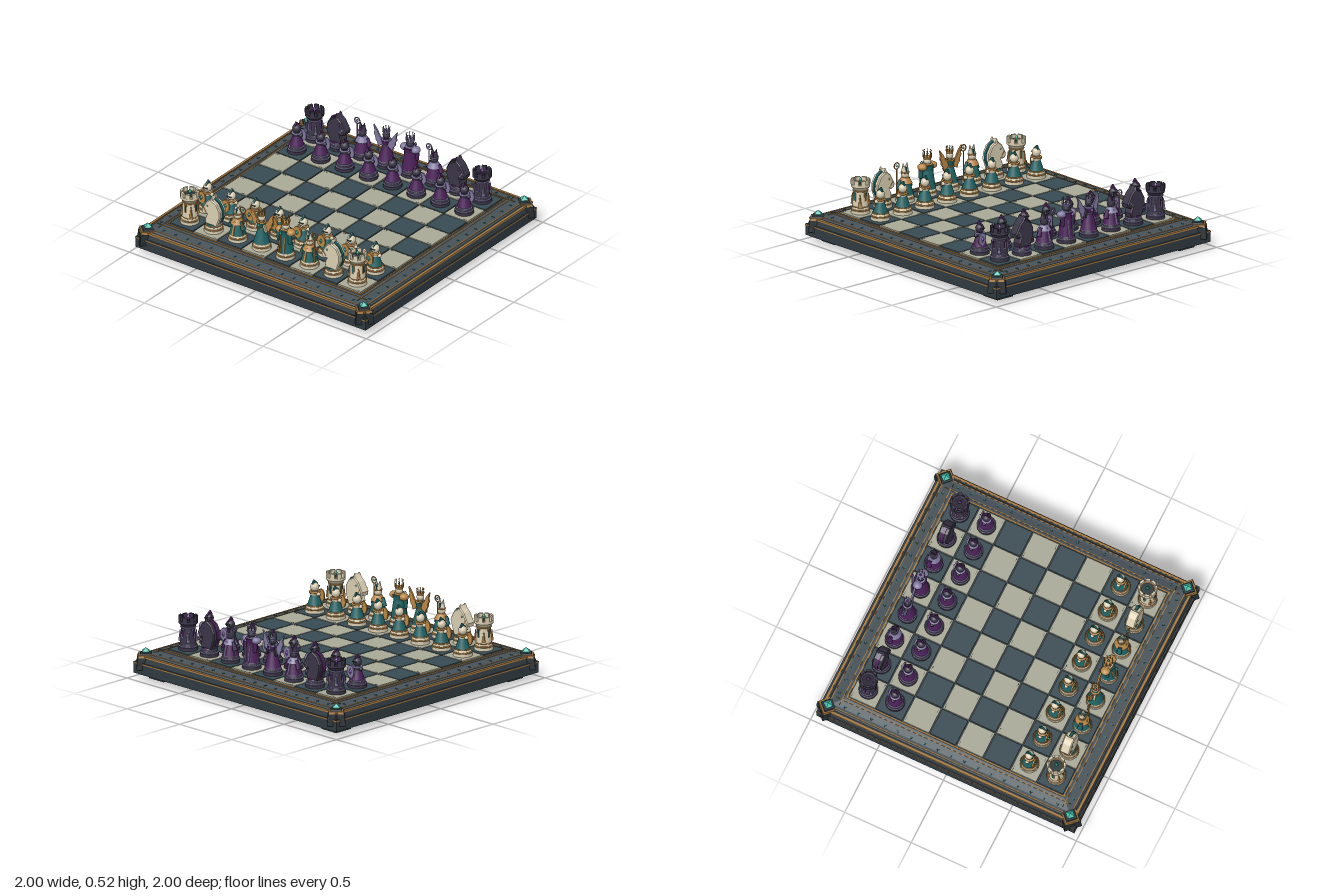
import * as THREE from 'three';

const mats = {};
const mat = (c) => (mats[c] ??= new THREE.MeshStandardMaterial({ color: c, side: THREE.DoubleSide }));
const flat = (c) => (mats['f' + c] ??= new THREE.MeshStandardMaterial({ color: c, flatShading: true }));

function add(parent, name, geo, material, x = 0, y = 0, z = 0) {
  const m = new THREE.Mesh(geo, material);
  m.name = name;
  m.position.set(x, y, z);
  parent.add(m);
  return m;
}
const box = (p, n, c, w, h, d, x, y, z) => add(p, n, new THREE.BoxGeometry(w, h, d), mat(c), x, y, z);
// cylinder or cone standing between two heights
const cyl = (p, n, c, r0, r1, y0, y1, x = 0, z = 0, s = 20) =>
  add(p, n, new THREE.CylinderGeometry(r1, r0, y1 - y0, s), mat(c), x, (y0 + y1) / 2, z);
const ball = (p, n, c, r, x, y, z = 0) => add(p, n, new THREE.SphereGeometry(r, 14, 10), mat(c), x, y, z);
const ring = (p, n, c, r, t, y) => {
  const m = add(p, n, new THREE.TorusGeometry(r, t, 6, 20), mat(c), 0, y, 0);
  m.rotation.x = Math.PI / 2;
  return m;
};
const gem = (p, n, c, r, x, y, z, sy = 1) => {
  const m = add(p, n, new THREE.OctahedronGeometry(r), flat(c), x, y, z);
  m.scale.y = sy;
  return m;
};
// square block with sloping sides
function frustum(p, n, c, h0, h1, y0, y1, x = 0, z = 0, turn = Math.PI / 4) {
  const g = new THREE.CylinderGeometry(h1 * Math.SQRT2, h0 * Math.SQRT2, y1 - y0, 4);
  const m = add(p, n, g, flat(c), x, (y0 + y1) / 2, z);
  m.rotation.y = turn;
  return m;
}
// thin plate from an outline in the x-y plane, centred in z
function plate(p, n, c, pts, depth, z = 0, bevel = 0) {
  const g = new THREE.ExtrudeGeometry(new THREE.Shape(pts.map(([x, y]) => new THREE.Vector2(x, y))), {
    depth, bevelEnabled: bevel > 0, bevelSize: bevel, bevelThickness: bevel, bevelOffset: -bevel, bevelSegments: 1 });
  g.translate(0, 0, -depth / 2);
  return add(p, n, g, flat(c), 0, 0, z);
}
// square picture-frame strip lying flat
function border(p, n, c, half, width, y, h) {
  for (const s of [-1, 1]) {
    box(p, n, c, half * 2, h, width, 0, y, s * (half - width / 2));
    box(p, n, c, width, h, half * 2 - width * 2, s * (half - width / 2), y, 0);
  }
}

const PALE = { body: 0xd9cdb0, robe: 0x1f6163, trim: 0xb98645, dark: 0x2b3a3d, gem: 0x3fb8a4 };
const DARK = { body: 0x3b3547, robe: 0x4b2058, trim: 0x8078a0, dark: 0x241f2e, gem: 0x8a4fb0 };

function base(g, k) {
  cyl(g, 'foot', k.body, 0.066, 0.066, 0, 0.022);
  ring(g, 'footRing', k.trim, 0.06, 0.006, 0.027);
  cyl(g, 'plinth', k.body, 0.062, 0.056, 0.025, 0.045);
  ring(g, 'plinthRing', k.trim, 0.053, 0.005, 0.047);
}

function crown(g, k, y, r, h) {
  cyl(g, 'crownBand', k.trim, r * 0.85, r, y, y + 0.014);
  for (let i = 0; i < 8; i++) {
    const a = (i * Math.PI) / 4, x = Math.sin(a) * r * 0.9, z = Math.cos(a) * r * 0.9;
    cyl(g, 'crownPoint', k.trim, 0.006, 0.001, y + 0.012, y + h, x, z, 4);
    ball(g, 'crownPearl', k.trim, 0.0045, x, y + h, z);
  }
  gem(g, 'crownGem', k.gem, 0.01, 0, y + h * 0.6, 0, 1.6);
}

const builders = {
  pawn(g, k) {
    cyl(g, 'robe', k.robe, 0.052, 0.025, 0.045, 0.13);
    cyl(g, 'torso', k.body, 0.025, 0.034, 0.11, 0.14);
    ring(g, 'collar', k.trim, 0.03, 0.008, 0.142);
    ball(g, 'head', k.body, 0.031, 0, 0.175);
    plate(g, 'crest', k.robe, [[-0.03, 0.195], [0.012, 0.19], [0.026, 0.2], [0.008, 0.228]], 0.012).rotation.y = Math.PI / 2;
    box(g, 'faceSlit', k.dark, 0.035, 0.007, 0.01, 0, 0.178, 0.028);
    const s = cyl(g, 'shield', k.trim, 0.045, 0.045, -0.005, 0.005, -0.018, 0.044, 14);
    s.position.y = 0.11; s.rotation.x = Math.PI / 2; s.scale.x = 0.75;
    gem(g, 'shieldGem', k.gem, 0.012, -0.018, 0.11, 0.05, 1.8);
    for (const x of [-1, 1]) ball(g, 'shoulder', k.body, 0.014, x * 0.036, 0.13);
  },
  rook(g, k) {
    cyl(g, 'tower', k.body, 0.055, 0.048, 0.045, 0.17);
    ring(g, 'towerBand', k.trim, 0.05, 0.005, 0.16);
    cyl(g, 'corbel', k.body, 0.048, 0.066, 0.165, 0.188);
    cyl(g, 'parapet', k.body, 0.066, 0.066, 0.188, 0.205);
    cyl(g, 'roof', k.dark, 0.048, 0.048, 0.2, 0.208);
    ring(g, 'roofRing', k.trim, 0.046, 0.004, 0.208);
    for (let i = 0; i < 8; i++) {
      const a = (i + 0.5) * Math.PI / 4;
      const m = box(g, 'merlon', k.body, 0.032, 0.034, 0.016, Math.sin(a) * 0.057, 0.22, Math.cos(a) * 0.057);
      m.rotation.y = a;
    }
    for (let i = 0; i < 4; i++) {
      const side = new THREE.Group();
      side.name = 'towerSide';
      side.rotation.y = (i * Math.PI) / 2;
      box(side, 'windowFrame', k.trim, 0.02, 0.062, 0.01, 0, 0.12, 0.048);
      box(side, 'window', k.robe, 0.012, 0.052, 0.012, 0, 0.12, 0.049);
      const b = cyl(side, 'buttress', k.trim, 0.012, 0.002, 0.06, 0.14, 0.039, 0.039, 4);
      b.rotation.y = Math.PI / 4;
      g.add(side);
    }
    gem(g, 'beacon', k.gem, 0.015, 0, 0.23, 0, 1.6);
  },
  knight(g, k) {
    cyl(g, 'neckSeat', k.robe, 0.052, 0.045, 0.045, 0.06);
    plate(g, 'horseHead', k.body, [[-0.045, 0.05], [0.05, 0.05], [0.078, 0.13], [0.076, 0.175], [0.048, 0.225],
      [0.008, 0.246], [0, 0.268], [-0.014, 0.246], [-0.042, 0.222], [-0.08, 0.155], [-0.074, 0.128],
      [-0.05, 0.118], [-0.032, 0.128], [-0.052, 0.085]], 0.058, 0, 0.007);
    plate(g, 'mane', k.robe, [[0.045, 0.055], [0.062, 0.075], [0.085, 0.13], [0.082, 0.18], [0.052, 0.232],
      [0.012, 0.254], [0.03, 0.2], [0.05, 0.14]], 0.02);
    for (const s of [-1, 1]) {
      ball(g, 'eye', k.gem, 0.006, -0.028, 0.195, s * 0.036);
      plate(g, 'ear', k.body, [[-0.012, 0.235], [0.016, 0.235], [0, 0.275]], 0.012, s * 0.02);
      box(g, 'bridle', k.trim, 0.006, 0.045, 0.004, -0.05, 0.157, s * 0.036).rotation.z = 0.6;
    }
  },
  bishop(g, k) {
    cyl(g, 'robe', k.robe, 0.058, 0.032, 0.045, 0.15);
    box(g, 'stole', k.trim, 0.014, 0.1, 0.006, 0, 0.1, 0.047).rotation.x = -0.24;
    cyl(g, 'cape', k.trim, 0.05, 0.026, 0.125, 0.165);
    ball(g, 'head', k.body, 0.028, 0, 0.185);
    ring(g, 'mitreBand', k.trim, 0.026, 0.005, 0.2);
    for (const s of [-1, 1]) {
      const m = cyl(g, 'mitreHalf', k.body, 0.022, 0.002, 0.195, 0.265, s * 0.013, 0, 8);
      m.rotation.z = -s * 0.16;
      const sleeve = cyl(g, 'sleeve', k.robe, 0.018, 0.012, 0.09, 0.15, s * 0.045, 0.008, 10);
      sleeve.rotation.z = s * 0.3;
    }
    box(g, 'mitreStripe', k.robe, 0.01, 0.045, 0.04, 0, 0.213, 0);
    cyl(g, 'staff', k.trim, 0.004, 0.004, 0.05, 0.23, 0.058, 0.02, 8);
    add(g, 'staffRing', new THREE.TorusGeometry(0.022, 0.0045, 6, 18), mat(k.trim), 0.058, 0.25, 0.02);
    gem(g, 'staffGem', k.gem, 0.012, 0.058, 0.25, 0.02);
  },
  queen(g, k) {
    cyl(g, 'gown', k.robe, 0.058, 0.024, 0.045, 0.165);
    cyl(g, 'bodice', k.robe, 0.024, 0.036, 0.16, 0.2);
    ring(g, 'belt', k.trim, 0.026, 0.005, 0.162);
    ring(g, 'collar', k.trim, 0.028, 0.007, 0.203);
    cyl(g, 'neck', k.body, 0.012, 0.012, 0.2, 0.22);
    ball(g, 'head', k.body, 0.026, 0, 0.235);
    crown(g, k, 0.25, 0.026, 0.042);
    gem(g, 'brooch', k.gem, 0.012, 0, 0.185, 0.034, 1.4);
    for (const s of [-1, 1]) {
      const w = plate(g, 'wing', k.trim, [[0.02, 0.16], [0.06, 0.135], [0.068, 0.165], [0.082, 0.18], [0.084, 0.205],
        [0.096, 0.225], [0.09, 0.245], [0.1, 0.29], [0.07, 0.255], [0.045, 0.21], [0.02, 0.2]], 0.012, -0.008);
      if (s < 0) w.rotation.y = Math.PI, w.position.z = -0.008;
      box(g, 'arm', k.body, 0.014, 0.06, 0.014, s * 0.036, 0.165, 0.012).rotation.z = s * 0.35;
    }
  },
  king(g, k) {
    cyl(g, 'robe', k.robe, 0.058, 0.038, 0.045, 0.18);
    cyl(g, 'chest', k.robe, 0.038, 0.045, 0.17, 0.21);
    for (const s of [-1, 1]) {
      ball(g, 'pauldron', k.trim, 0.034, s * 0.045, 0.2).scale.y = 0.75;
      cyl(g, 'arm', k.robe, 0.013, 0.016, 0.12, 0.19, s * 0.048, 0.014, 10);
      box(g, 'robeTrim', k.trim, 0.008, 0.12, 0.006, s * 0.022, 0.11, 0.044).rotation.x = -0.15;
    }
    ring(g, 'collar', k.trim, 0.028, 0.008, 0.215);
    ball(g, 'head', k.body, 0.027, 0, 0.237);
    plate(g, 'beard', k.body, [[-0.016, 0.228], [0.016, 0.228], [0, 0.19]], 0.01, 0.028);
    crown(g, k, 0.252, 0.032, 0.058);
    cyl(g, 'sceptre', k.trim, 0.006, 0.006, 0.06, 0.2, 0, 0.06, 8);
    gem(g, 'sceptreGem', k.gem, 0.012, 0, 0.205, 0.06, 1.5);
  },
};

function buildBoard(g) {
  const slate = 0x303a40, rim = 0x465157, gold = 0xa87a3e, teal = 0x2f6f70;
  frustum(g, 'baseSlab', slate, 0.97, 0.97, 0.04, 0.12);
  frustum(g, 'slopedEdge', slate, 0.96, 0.945, 0.12, 0.165);
  border(g, 'lowerTrim', gold, 0.972, 0.012, 0.114, 0.008);
  border(g, 'upperTrim', gold, 0.953, 0.016, 0.161, 0.012);
  frustum(g, 'rim', rim, 0.93, 0.915, 0.16, 0.178);
  frustum(g, 'bed', rim, 0.9, 0.82, 0.176, 0.196);
  border(g, 'rimTrim', gold, 0.916, 0.007, 0.178, 0.004);
  border(g, 'boardTrim', gold, 0.82, 0.009, 0.197, 0.008);
  for (const s of [-1, 1]) {
    box(g, 'inlayLine', gold, 1.77, 0.003, 0.005, 0, 0.194, s * 0.84);
    box(g, 'inlayLine', gold, 0.005, 0.003, 1.77, s * 0.84, 0.194, 0);
  }
  // small arrowheads around the rim
  for (let side = 0; side < 4; side++) {
    const row = new THREE.Group();
    row.name = 'rimMarks';
    row.rotation.y = (side * Math.PI) / 2;
    for (let i = 0; i < 17; i++) cyl(row, 'rimMark', teal, 0.013, 0.01, 0.176, 0.186, (i - 8) * 0.1, 0.878, 3);
    g.add(row);
  }
  // corner posts, gems and feet
  for (const x of [-0.91, 0.91]) for (const z of [-0.91, 0.91]) {
    frustum(g, 'cornerPost', 0x262e33, 0.064, 0.056, 0.075, 0.155, x, z, 0);
    frustum(g, 'cornerTrim', gold, 0.054, 0.05, 0.155, 0.172, x, z, 0);
    frustum(g, 'cornerCap', slate, 0.04, 0.036, 0.172, 0.182, x, z, 0);
    gem(g, 'cornerGem', 0x45c2ad, 0.036, x, 0.192, z, 0.75);
    box(g, 'foot', slate, 0.14, 0.045, 0.14, Math.sign(x) * 0.825, 0.0225, Math.sign(z) * 0.825);
  }
}

export function createModel() {
  const model = new THREE.Group();
  const board = new THREE.Group();
  board.name = 'board';
  model.add(board);
  buildBoard(board);
  const P = 0.202;
  for (let i = 0; i < 8; i++) for (let j = 0; j < 8; j++) {
    const light = (i + j) % 2 === 0, x = (i - 3.5) * P, z = (j - 3.5) * P;
    box(board, light ? 'lightSquare' : 'darkSquare', light ? 0xa7a895 : 0x384b52, 0.194, 0.014, 0.194, x, 0.2, z);
    if (light) for (const s of [-1, 1]) box(board, 'squareNick', 0x6f7468, 0.03, 0.002, 0.004, x + s * 0.07, 0.207, z + s * 0.085);
  }
  const order = ['rook', 'knight', 'bishop', 'queen', 'king', 'bishop', 'knight', 'rook'];
  for (const [side, k] of [[1, PALE], [-1, DARK]]) {
    for (let i = 0; i < 8; i++) for (const [type, row] of [[order[i], 3.5], ['pawn', 2.5]]) {
      const g = new THREE.Group();
      g.name = type;
      base(g, k);
      builders[type](g, k);
      g.position.set((i - 3.5) * P, 0.207, side * row * P);
      if (side < 0) g.rotation.y = Math.PI;
      model.add(g);
    }
  }
  return model;
}
